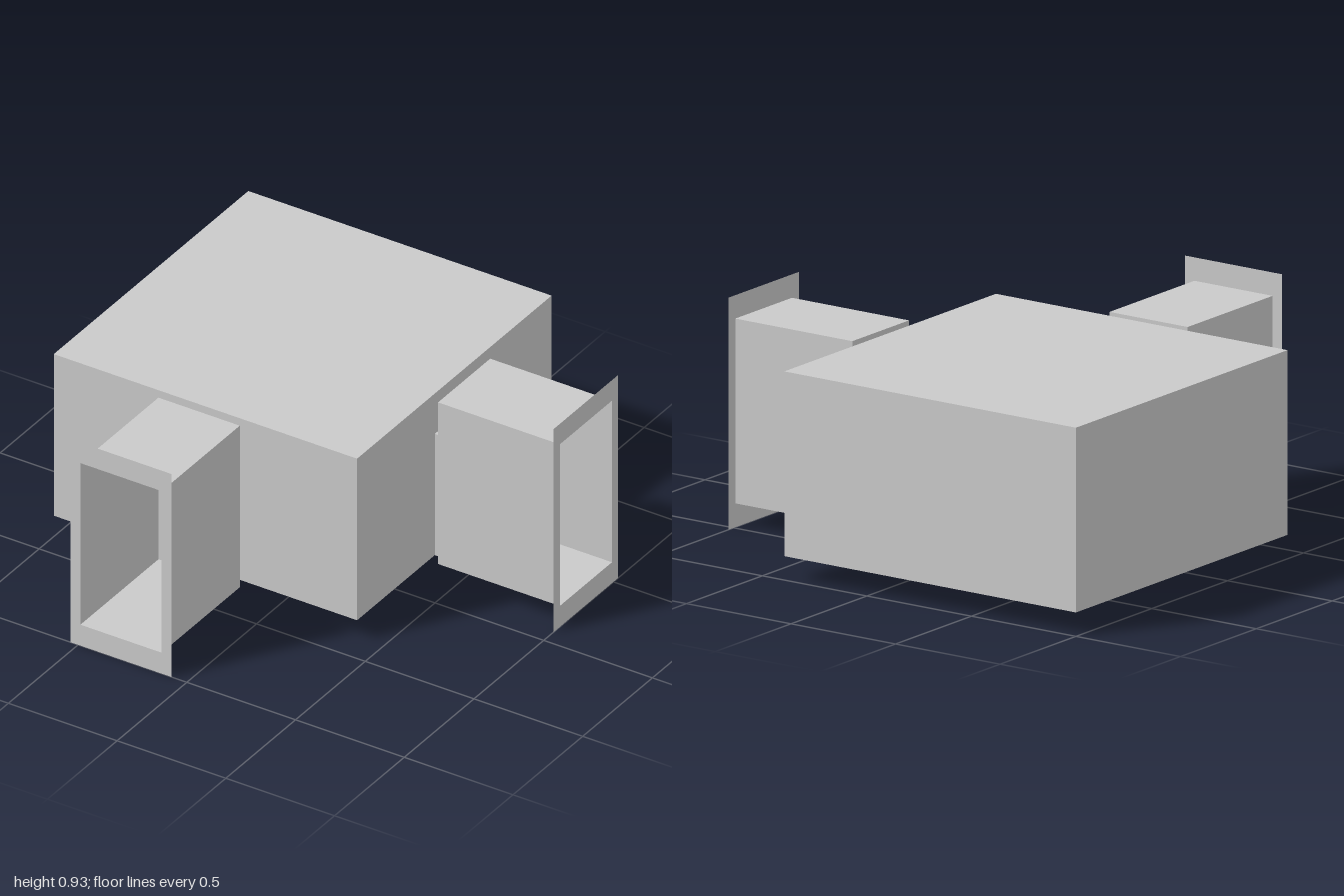
import * as THREE from 'three';

const FLOOR = 0.096, TOP = 0.838, EDGE = 0.395, AXIS = -0.3025;
const DOOR_W = 0.235, DOOR_TOP = 0.636, FRAME_W = 0.31, FRAME_TOP = 0.673, FRAME_DEPTH = 0.02;

export function createModel() {
  const group = new THREE.Group();
  const grey = new THREE.MeshStandardMaterial({ color: 0xc9c9c9, side: THREE.DoubleSide });
  grey.name = 'light grey';

  const add = (parent, name, geometry, x = 0, y = 0, z = 0) => {
    const mesh = new THREE.Mesh(geometry, grey);
    mesh.name = name;
    mesh.position.set(x, y, z);
    parent.add(mesh);
  };

  // Thin box shell keeping only the listed faces (0..5 = +x -x +y -y +z -z)
  const shell = (w, h, d, faces) => {
    const geometry = new THREE.BoxGeometry(w, h, d);
    const index = Array.from(geometry.index.array);
    geometry.setIndex(faces.flatMap((f) => index.slice(f * 6, f * 6 + 6)));
    geometry.clearGroups();
    return geometry;
  };

  // Open-ended passage along z, standing on the floor
  const sleeve = (parent, name, w, top, z0, z1, faces = [0, 1, 2, 3]) =>
    add(parent, name, shell(w, top - FLOOR, z1 - z0, faces), 0, (FLOOR + top) / 2, (z0 + z1) / 2);

  const points = (list) => list.map(([x, y]) => new THREE.Vector2(x, y));

  // Flat wall with a doorway notch rising from the floor at x = 0
  const doorWall = (x0, x1, top) => {
    const d = DOOR_W / 2;
    return new THREE.ShapeGeometry(new THREE.Shape(points([
      [x0, FLOOR], [-d, FLOOR], [-d, DOOR_TOP], [d, DOOR_TOP], [d, FLOOR], [x1, FLOOR], [x1, top], [x0, top],
    ])));
  };

  // Main room: floor, ceiling and the two closed walls
  const size = 1 + EDGE, mid = (EDGE - 1) / 2;
  add(group, 'room', shell(size, TOP - FLOOR, size, [1, 2, 3, 5]), mid, (FLOOR + TOP) / 2, mid);

  // Rectangular flange around the open end of a corridor
  const flange = new THREE.Shape(points([[-0.232, 0], [0.232, 0], [0.232, 0.932], [-0.232, 0.932]]));
  flange.holes.push(new THREE.Path(points([[-0.187, FLOOR], [-0.187, TOP], [0.187, TOP], [0.187, FLOOR]])));

  // One corridor along +z with its doorway; wallX0 and wallX1 bound the room wall
  const corridor = (name, wallX0, wallX1) => {
    const part = new THREE.Group();
    part.name = name;
    const inner = EDGE - FRAME_DEPTH, outer = 0.44 + FRAME_DEPTH;
    add(part, 'roomDoorWall', doorWall(wallX0, wallX1, TOP), 0, 0, EDGE);
    sleeve(part, 'doorwayOuter', 0.28, 0.653, EDGE, 0.44);
    sleeve(part, 'doorwayLining', DOOR_W, DOOR_TOP, inner, outer, [0, 1, 2]);
    // Raised door frame on both sides of the wall
    for (const [face, z0, z1] of [[inner, inner, EDGE], [outer, 0.44, outer]]) {
      add(part, 'doorFrameFace', doorWall(-FRAME_W / 2, FRAME_W / 2, FRAME_TOP), 0, 0, face);
      sleeve(part, 'doorFrameRim', FRAME_W, FRAME_TOP, z0, z1, [0, 1, 2]);
    }
    add(part, 'corridorEndWall', doorWall(-0.187, 0.187, TOP), 0, 0, 0.44);
    sleeve(part, 'corridorWalls', 0.374, TOP, 0.44, 1);
    add(part, 'endFlange', new THREE.ShapeGeometry(flange), 0, 0, 1);
    group.add(part);
    return part;
  };

  const front = corridor('frontCorridor', -1 - AXIS, EDGE - AXIS);
  front.position.x = AXIS;

  // Same corridor turned to leave through the left wall
  const side = corridor('sideCorridor', AXIS - EDGE, AXIS + 1);
  side.position.z = AXIS;
  side.rotation.y = Math.PI / 2;

  return group;
}
